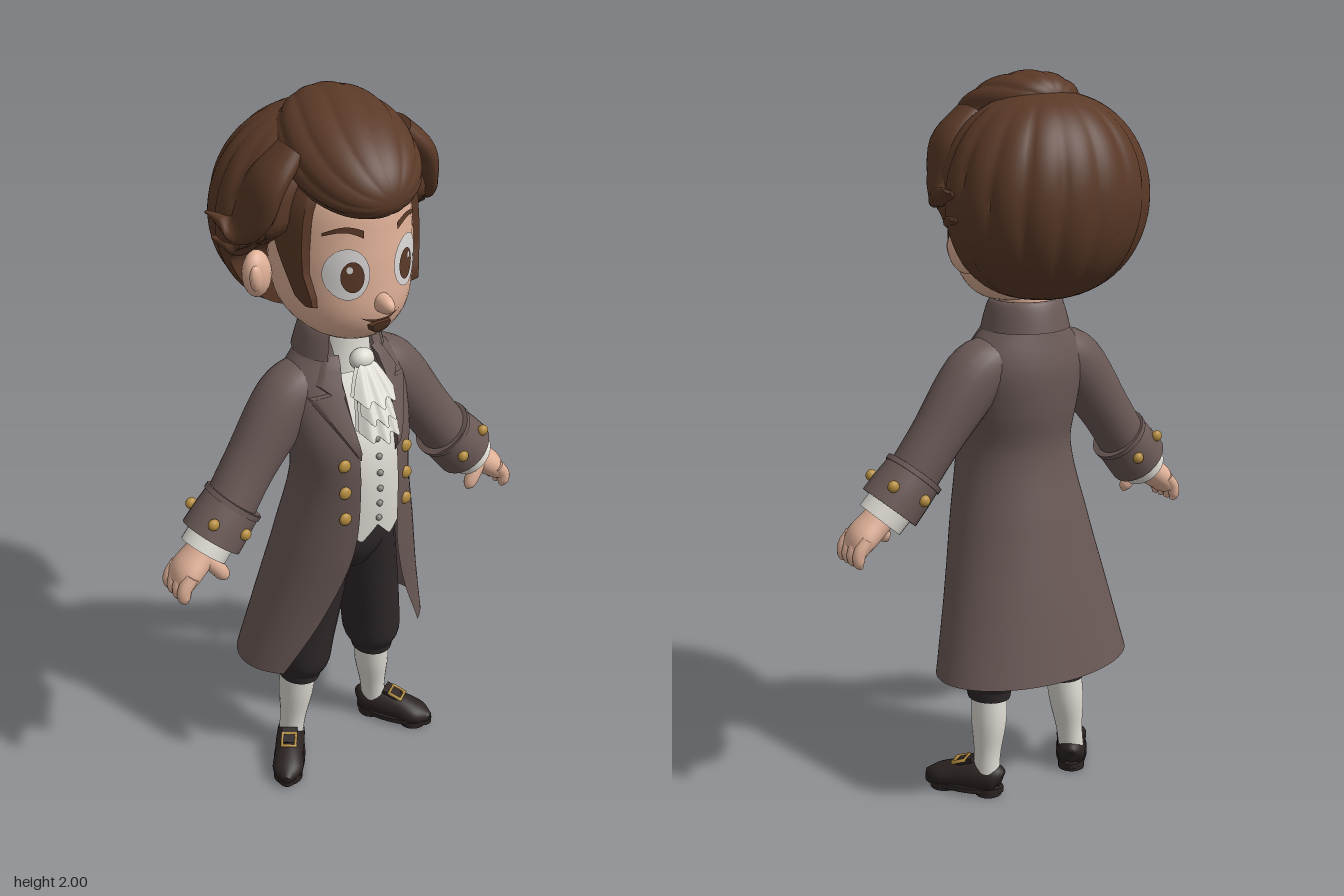
import * as THREE from 'three';
import { toCreasedNormals } from 'three/addons/utils/BufferGeometryUtils.js';

const mat = (name, color) => new THREE.MeshStandardMaterial({ name, color, side: THREE.DoubleSide });
const { sin, cos, abs, sqrt, max, min, PI } = Math;
const lerp = THREE.MathUtils.lerp;

// Surface from a rule f(u, v) -> [x, y, z]
function grid(nu, nv, f, crease = 0.9) {
  const pos = [], idx = [];
  for (let j = 0; j <= nv; j++) for (let i = 0; i <= nu; i++) pos.push(...f(i / nu, j / nv));
  for (let j = 0; j < nv; j++) for (let i = 0; i < nu; i++) {
    const a = j * (nu + 1) + i, b = a + 1, c = a + nu + 1, d = c + 1;
    idx.push(a, c, b, b, c, d);
  }
  const g = new THREE.BufferGeometry();
  g.setAttribute('position', new THREE.Float32BufferAttribute(pos, 3));
  g.setIndex(idx);
  g.scale(50, 50, 50);
  return toCreasedNormals(g, crease).scale(0.02, 0.02, 0.02);
}

// Capped tube through points [x, y, z, width radius, depth radius]
function sweep(pts, ref = [0, 0, 1], nu = 24, perSpan = 5) {
  const path = new THREE.CatmullRomCurve3(pts.map(p => new THREE.Vector3(p[0], p[1], p[2])), false, 'catmullrom');
  const radii = new THREE.CatmullRomCurve3(pts.map(p => new THREE.Vector3(p[3], p[4], 0)), false, 'catmullrom');
  const n = (pts.length - 1) * perSpan + 2;
  return grid(nu, n, (u, v) => {
    const k = Math.round(v * n), t = min(1, max(0, (k - 1) / (n - 2)));
    const p = path.getPoint(t), r = radii.getPoint(t), T = path.getTangent(t);
    if (k === 0 || k === n) return p.toArray();
    const B = new THREE.Vector3(...ref).addScaledVector(T, -T.dot(new THREE.Vector3(...ref))).normalize();
    const N = T.clone().cross(B), a = u * 2 * PI;
    return p.addScaledVector(N, r.x * cos(a)).addScaledVector(B, r.y * sin(a)).toArray();
  });
}

// Smooth lookup in rows sorted by their first entry
function at(rows, y) {
  let i = 0;
  while (i < rows.length - 2 && y > rows[i + 1][0]) i++;
  const p = rows[i], q = rows[i + 1], o = rows[i - 1] || p, r = rows[i + 2] || q;
  const h = q[0] - p[0], t = min(1, max(0, (y - p[0]) / h)), t2 = t * t, t3 = t2 * t;
  return p.slice(1).map((a, k) => {
    const b = q[k + 1], m0 = (b - o[k + 1]) / (q[0] - o[0]) * h, m1 = (r[k + 1] - a) / (r[0] - p[0]) * h;
    return (2 * t3 - 3 * t2 + 1) * a + (t3 - 2 * t2 + t) * m0 + (3 * t2 - 2 * t3) * b + (t3 - t2) * m1;
  });
}

// Padded strip laid on a surface; rows are [y, from, to]
function drape(rows, surf, h, nu = 10, per = 4) {
  const nv = (rows.length - 1) * per;
  return grid(nu, nv, (u, v) => {
    const s = v * (rows.length - 1), i = min(rows.length - 2, Math.floor(s)), t = s - i;
    const [y, a, b] = rows[i].map((p, k) => lerp(p, rows[i + 1][k], t));
    return surf(lerp(a, b, u), y, u === 0 || u === 1 || v === 0 || v === 1 ? -0.002 : h);
  });
}
const disc = (cx, cy, rx, ry, surf, h) => grid(28, 4, (u, v) =>
  surf(cx + rx * v * cos(u * 2 * PI), cy - ry * v * sin(u * 2 * PI), h));

// Cross-sections: y, half width, centre z, half depth
const HEAD = [[1.395, 0.005, 0.1, 0.005], [1.41, 0.08, 0.095, 0.085], [1.45, 0.138, 0.075, 0.145], [1.5, 0.167, 0.06, 0.178],
  [1.58, 0.178, 0.05, 0.188], [1.68, 0.18, 0.045, 0.186], [1.8, 0.165, 0.03, 0.18], [1.9, 0.1, 0, 0.11], [1.93, 0.01, 0, 0.01]];
const COAT = [[0.385, 0.295, 0.007, 0.187], [0.6, 0.245, 0.04, 0.176], [0.8, 0.2, 0.075, 0.168], [1, 0.16, 0.1, 0.155],
  [1.12, 0.172, 0.085, 0.155], [1.22, 0.18, 0.06, 0.135], [1.28, 0.165, 0.05, 0.115], [1.32, 0.135, 0.045, 0.1],
  [1.37, 0.09, 0.04, 0.085], [1.4, 0.085, 0.04, 0.08]];
const OPENING = [[0.385, 0.23], [0.6, 0.13], [0.8, 0.07], [1, 0.058], [1.2, 0.058], [1.4, 0.06]];
const frontOf = rows => (x, y, h) => {
  const [rx, cz, rz] = at(rows, y);
  return [x, y, cz + rz * sqrt(max(0, 1 - (x / rx) ** 2)) + h];
};
const face = frontOf(HEAD), chest = frontOf(COAT);
const temple = (z, y, h) => {
  const [rx, cz, rz] = at(HEAD, y);
  return [rx * sqrt(max(0, 1 - ((z - cz) / rz) ** 2)) + h, y, z + h * 0.5];
};

export function createModel() {
  const model = new THREE.Group();
  model.name = 'gentleman';
  const M = {
    coat: mat('coat brown', 0x6a5956), hair: mat('hair brown', 0x5a3927), skin: mat('skin', 0xe0b198),
    white: mat('linen white', 0xdedbd3), eye: mat('eye white', 0xd9d6d4), dark: mat('breeches black', 0x2f2829),
    shoe: mat('shoe leather', 0x2b2322), gold: mat('gold', 0xb58d3f), pewter: mat('pewter', 0x8d8883),
  };
  const add = (parent, name, geo, m) => {
    const mesh = new THREE.Mesh(geo, M[m]);
    mesh.name = name;
    parent.add(mesh);
    return mesh;
  };
  const ball = (parent, name, m, p, s) => {
    const b = add(parent, name, new THREE.SphereGeometry(1, 20, 14), m);
    b.position.set(...p);
    b.scale.set(...s);
    return b;
  };

  // Head
  add(model, 'head', grid(40, 32, (u, v) => {
    const y = lerp(1.395, 1.93, (1 - cos(v * PI)) / 2), [rx, cz, rz] = at(HEAD, y), a = u * 2 * PI;
    return [rx * cos(a), y, cz + rz * sin(a)];
  }), 'skin');
  ball(model, 'nose', 'skin', [0, 1.53, 0.24], [0.022, 0.026, 0.046]);
  add(model, 'goatee', drape([[1.442, -0.008, 0.008], [1.455, -0.026, 0.026], [1.472, -0.034, 0.034], [1.482, -0.02, 0.02]], face, 0.012), 'hair');
  add(model, 'mouth', grid(20, 1, (u, v) => {
    const x = lerp(-0.058, 0.058, u);
    return face(x, 1.482 + 5 * x * x + (v - 0.5) * 0.009 * sin(u * PI), 0.004);
  }), 'hair');

  // Back hair with combed ridges, cleared away around the ears
  add(model, 'backHair', grid(132, 36, (u, v) => {
    const a = u * 2 * PI, lat = (v - 0.5) * PI, w = max(0, cos(lat)) ** 0.88;
    const ridge = 1 - 0.05 * w * (1 - abs(cos(a * 9 + 0.3 * sin(lat * 2))) ** 0.6);
    const y = 1.69 + 0.265 * sin(lat), limit = lerp(-0.03, 0.11, THREE.MathUtils.smoothstep(y, 1.6, 1.73));
    return [0.288 * w * ridge * cos(a), y, min(limit, -0.05 + 0.243 * w * ridge * sin(a))];
  }), 'hair');
  // Swept quiff above the forehead
  add(model, 'quiff', grid(96, 36, (u, v) => {
    const a = u * 2 * PI, t = -cos(v * PI), w = sin(v * PI) ** 0.9;
    const r = w * (0.95 + 0.05 * abs(cos(a * 6 + 2.2 * t)) ** 0.6), s = -sin(a);
    const x = -0.008 + 0.163 * r * cos(a);
    return [x, 1.87 + (s < 0 ? 0.092 : 0.118) * r * s - 0.06 * t + 0.08 * x, 0.095 + 0.2 * t];
  }), 'hair');

  // Coat body, open at the front
  add(model, 'coatBody', grid(60, 48, (u, v) => {
    const y = lerp(0.385, 1.4, v), [rx, cz, rz] = at(COAT, y), a0 = Math.asin(min(0.95, at(OPENING, y)[0] / rx));
    const a = lerp(2 * PI - a0, a0, u);
    return [rx * sin(a), y, cz + rz * cos(a)];
  }), 'coat');
  add(model, 'coatCollar', grid(40, 8, (u, v) => {
    const a = lerp(2 * PI - 0.75, 0.75, u), r = lerp(0.122, 0.084, v);
    return [r * sin(a), 1.335 + 0.08 * sin(v * PI * 0.62), 0.04 + r * 0.95 * cos(a)];
  }), 'coat');

  // Waistcoat with a pointed hem
  add(model, 'waistcoat', grid(24, 20, (u, v) => {
    const x = lerp(-0.1, 0.1, u), hem = 0.875 - 0.05 * max(0, 1 - abs(abs(x) - 0.045) / 0.045);
    return chest(x, lerp(hem, 1.3, v), -0.01);
  }), 'white');
  for (let i = 0; i < 6; i++)
    ball(model, 'waistcoatButton', 'pewter', chest(0, 0.9 + i * 0.047, -0.007), [0.009, 0.009, 0.008]);

  // Neckcloth and ruffles
  add(model, 'neck', sweep([[0, 1.3, 0.05, 0.065, 0.065], [0, 1.45, 0.05, 0.065, 0.065]]), 'skin');
  add(model, 'neckcloth', sweep([[0, 1.24, 0.06, 0.085, 0.09], [0, 1.33, 0.05, 0.078, 0.085], [0, 1.4, 0.047, 0.074, 0.082]]), 'white');
  ball(model, 'cravatKnot', 'white', [0, 1.335, 0.155], [0.034, 0.03, 0.028]);
  [[1.33, 0.165, 1.155, 0.268, 0.06], [1.33, 0.165, 1.2, 0.262, 0.05], [1.335, 0.17, 1.245, 0.245, 0.062]].forEach(([y0, z0, y1, z1, w]) => {
    // closed slab: front, hem and back in one loop
    add(model, 'ruffle', grid(48, 14, (u, v) => {
      const side = u < 0.5 ? 1 : -1, k = (u < 0.5 ? u * 4 : 4 - u * 4) - 1;
      const wave = cos(k * 3 * PI) * v;
      return [k * lerp(0.02, w, v ** 0.7), lerp(y0, y1, v) + 0.012 * v * (abs(k) - wave * 0.6),
        lerp(z0, z1, v) + 0.011 * wave - 0.03 * k * k * v - side * 0.007];
    }), 'white');
  });

  // Seat of the breeches
  add(model, 'breechesSeat', sweep([[0, 1, 0.09, 0.125, 0.12], [0, 0.88, 0.08, 0.13, 0.12], [0, 0.78, 0.07, 0.135, 0.12], [0, 0.7, 0.06, 0.09, 0.09]]), 'dark');

  // Everything that comes in pairs
  for (const s of [1, -1]) {
    const half = new THREE.Group();
    half.name = s > 0 ? 'leftSide' : 'rightSide';
    half.scale.x = s;
    model.add(half);

    // Face details
    add(half, 'eyeWhite', disc(0.085, 1.615, 0.05, 0.066, face, 0.004), 'eye');
    add(half, 'iris', disc(0.077, 1.61, 0.026, 0.04, face, 0.008), 'hair');
    add(half, 'glint', disc(0.085, 1.63, 0.007, 0.009, face, 0.011), 'eye');
    add(half, 'eyebrow', grid(12, 2, (u, v) =>
      face(lerp(0.048, 0.132, u), 1.715 + 0.014 * sin(u * PI) + (v - 0.5) * 0.02 * (1 - 0.6 * u), 0.006)), 'hair');
    ball(half, 'ear', 'skin', [0.21, 1.565, -0.002], [0.045, 0.064, 0.034]).rotation.set(0, -0.5, -0.15);
    ball(half, 'innerEar', 'skin', [0.225, 1.565, 0.022], [0.022, 0.038, 0.016]).rotation.set(0, -0.5, -0.15);

    // Sideburn and flicked side locks
    add(half, 'sideburn', drape([[1.52, 0.155, 0.165], [1.55, 0.115, 0.165], [1.61, 0.085, 0.15], [1.7, 0.03, 0.15], [1.8, 0.02, 0.15], [1.87, 0.02, 0.1]], temple, 0.016), 'hair');
    add(half, 'upperLock', sweep([[0.15, 1.9, 0.07, 0.03, 0.05], [0.215, 1.83, 0.065, 0.035, 0.07], [0.24, 1.75, 0.04, 0.032, 0.07],
      [0.265, 1.705, -0.01, 0.025, 0.05], [0.305, 1.725, -0.075, 0.004, 0.01]]), 'hair');
    add(half, 'lowerLock', sweep([[0.205, 1.76, 0.04, 0.03, 0.05], [0.232, 1.68, 0, 0.03, 0.045],
      [0.255, 1.645, -0.035, 0.022, 0.035], [0.292, 1.655, -0.075, 0.004, 0.008]]), 'hair');

    // Lapel and coat buttons
    add(half, 'lapel', drape([[1.09, 0.052, 0.056], [1.2, 0.058, 0.12], [1.25, 0.06, 0.148], [1.262, 0.06, 0.1], [1.28, 0.06, 0.122], [1.345, 0.05, 0.085]], chest, 0.012), 'coat');
    for (const y of [0.92, 1, 1.08]) ball(half, 'coatButton', 'gold', chest(0.095, y, 0.002), [0.018, 0.018, 0.011]);

    // Arm
    add(half, 'sleeve', sweep([[0.08, 1.27, 0.045, 0.06, 0.075], [0.16, 1.215, 0.045, 0.085, 0.082], [0.275, 1.065, 0.052, 0.073, 0.07],
      [0.35, 0.96, 0.062, 0.071, 0.07], [0.4, 0.9, 0.068, 0.07, 0.07]]), 'coat');
    add(half, 'sleeveCuff', sweep([[0.335, 0.975, 0.064, 0.08, 0.078], [0.375, 0.93, 0.067, 0.084, 0.083], [0.41, 0.89, 0.07, 0.086, 0.085]]), 'coat');
    add(half, 'cuffEdge', sweep([[0.333, 0.977, 0.064, 0.085, 0.083], [0.343, 0.966, 0.064, 0.085, 0.083]]), 'coat');
    for (const [x, y, z] of [[0.43, 0.968, 0.06], [0.35, 0.92, 0.08]]) for (const d of [1, -1])
      ball(half, 'cuffButton', 'gold', [x, y, 0.067 + d * z], [0.016, 0.016, 0.013]);
    add(half, 'shirtCuff', sweep([[0.405, 0.895, 0.07, 0.066, 0.066], [0.437, 0.86, 0.074, 0.066, 0.066]]), 'white');
    add(half, 'palm', sweep([[0.42, 0.88, 0.075, 0.04, 0.045], [0.455, 0.85, 0.077, 0.04, 0.05], [0.49, 0.82, 0.078, 0.038, 0.056], [0.512, 0.79, 0.078, 0.026, 0.052]]), 'skin');
    for (let i = 0; i < 4; i++) {
      const z = 0.036 + i * 0.028, r = i ? 0.019 : 0.017;
      add(half, 'finger', sweep([[0.495, 0.825, z, r, r], [0.518, 0.795, z, r, r], [0.522, 0.768, z, r * 0.9, r * 0.9], [0.515, 0.752, z, 0.006, 0.006]], [0, 0, 1], 12), 'skin');
    }
    add(half, 'thumb', sweep([[0.445, 0.86, 0.1, 0.024, 0.024], [0.42, 0.825, 0.112, 0.022, 0.021], [0.402, 0.795, 0.116, 0.018, 0.017], [0.395, 0.78, 0.116, 0.005, 0.005]], [0, 0, 1], 14), 'skin');

    // Leg
    add(half, 'breechesLeg', sweep([[0.068, 0.82, 0.07, 0.07, 0.11], [0.088, 0.62, 0.055, 0.085, 0.102], [0.112, 0.45, 0.045, 0.083, 0.095],
      [0.121, 0.36, 0.04, 0.08, 0.09], [0.125, 0.315, 0.038, 0.064, 0.07]]), 'dark');
    add(half, 'kneeBand', sweep([[0.125, 0.33, 0.038, 0.066, 0.07], [0.126, 0.29, 0.037, 0.058, 0.064]]), 'dark');
    add(half, 'stocking', sweep([[0.127, 0.31, 0.035, 0.05, 0.055], [0.133, 0.22, 0.028, 0.048, 0.054], [0.141, 0.13, 0.024, 0.037, 0.042], [0.147, 0.06, 0.02, 0.034, 0.04]]), 'white');

    // Shoe, toes turned out
    const shoe = new THREE.Group();
    shoe.name = 'shoe';
    shoe.position.set(0.147, 0, 0.02);
    shoe.rotation.y = 0.62;
    half.add(shoe);
    add(shoe, 'shoeUpper', sweep([[0, 0.045, -0.045, 0.012, 0.02], [0, 0.05, -0.03, 0.036, 0.04], [0, 0.05, 0.02, 0.042, 0.045],
      [0, 0.045, 0.08, 0.042, 0.042], [0, 0.035, 0.145, 0.043, 0.03], [0, 0.03, 0.185, 0.012, 0.012]], [0, 1, 0]), 'shoe');
    add(shoe, 'sole', sweep([[0, 0.01, 0.07, 0.046, 0.12], [0, 0.025, 0.07, 0.046, 0.12]], [0, 0, 1], 32), 'shoe');
    add(shoe, 'heel', sweep([[0, 0, -0.005, 0.038, 0.038], [0, 0.025, -0.005, 0.038, 0.038]]), 'shoe');
    const ballSole = add(shoe, 'soleTread', new THREE.CylinderGeometry(0.042, 0.042, 0.02, 24), 'shoe');
    ballSole.position.set(0, 0.01, 0.13);
    const tongue = add(shoe, 'tongue', new THREE.BoxGeometry(0.045, 0.012, 0.05), 'shoe');
    tongue.position.set(0, 0.092, 0.062);
    tongue.rotation.x = 0.35;
    const buckle = add(shoe, 'buckle', new THREE.TorusGeometry(0.028, 0.006, 6, 4).rotateZ(PI / 4), 'gold');
    buckle.position.set(0, 0.091, 0.078);
    buckle.rotation.x = -PI / 2 + 0.35;
  }
  return model;
}
